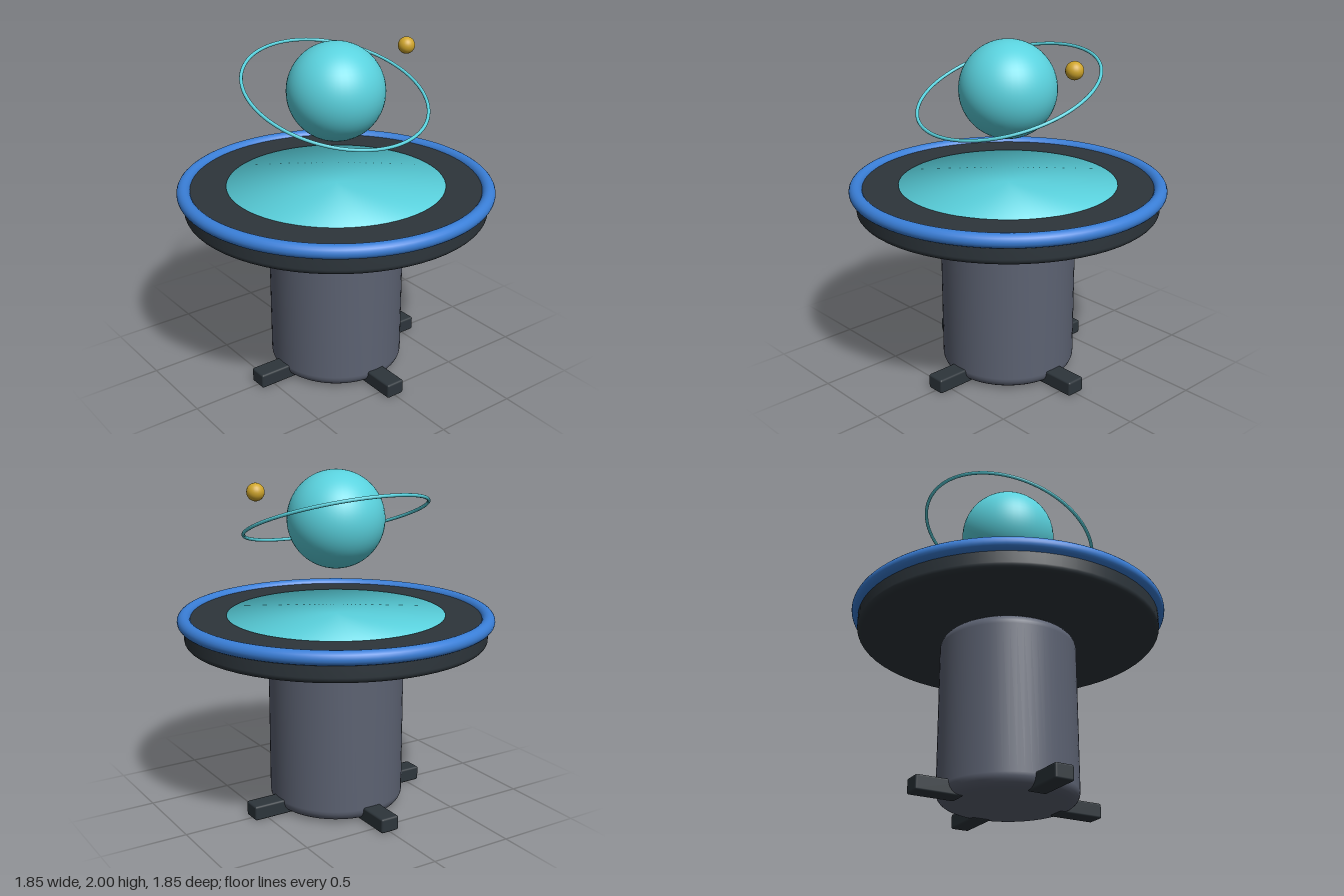
import * as THREE from 'three';
import { RoundedBoxGeometry } from 'three/addons/geometries/RoundedBoxGeometry.js';

const paint = (name, color) => Object.assign(new THREE.MeshStandardMaterial({ color }), { name });

// Upright drum with rounded top and bottom edges
function roundedDrum(radius, y0, y1, bevel) {
  const points = [new THREE.Vector2(0, y0), new THREE.Vector2(radius - bevel * 1.1, y0)];
  const arc = (cy, start) => {
    for (let i = 0; i <= 6; i++) {
      const a = start + (i / 6) * Math.PI / 2;
      points.push(new THREE.Vector2(radius - bevel + bevel * Math.cos(a), cy + bevel * Math.sin(a)));
    }
  };
  arc(y0 + bevel, -Math.PI / 2);
  arc(y1 - bevel, 0);
  points.push(new THREE.Vector2(radius - bevel * 1.1, y1), new THREE.Vector2(0, y1));
  return new THREE.LatheGeometry(points, 64);
}

// Flat disc whose normals lean outward towards the rim, for a lens-like sheen
function lensDisc(radius) {
  const disc = new THREE.CircleGeometry(radius, 64).rotateX(-Math.PI / 2);
  const { position, normal } = disc.attributes;
  const n = new THREE.Vector3();
  for (let i = 0; i < position.count; i++) {
    n.set(position.getX(i) / radius, 1, position.getZ(i) / radius).normalize();
    normal.setXYZ(i, n.x, n.y, n.z);
  }
  return disc;
}

export function createModel() {
  const model = new THREE.Group();
  model.name = 'hologramTable';

  const slate = paint('slate', 0x5c6272);
  const dark = paint('charcoal', 0x2d353b);
  const blue = paint('blue', 0x3a7fd8);
  const teal = paint('teal', 0x5ad2de);
  const gold = paint('gold', 0xd0a62c);

  const add = (name, geometry, material, x = 0, y = 0, z = 0) => {
    const mesh = new THREE.Mesh(geometry, material);
    mesh.name = name;
    mesh.position.set(x, y, z);
    model.add(mesh);
    return mesh;
  };

  // Base: pedestal and four feet
  add('pedestal', roundedDrum(0.4, 0.007, 1.003, 0.07), slate);
  const footGeometry = new RoundedBoxGeometry(0.28, 0.088, 0.115, 2, 0.012);
  for (let i = 0; i < 4; i++) {
    const a = (i * Math.PI) / 2;
    const foot = add('foot', footGeometry, dark, 0.445 * Math.cos(a), 0.044, -0.445 * Math.sin(a));
    foot.rotation.y = a;
  }

  // Table top, rim and projector lens
  add('tableTop', roundedDrum(0.887, 1.005, 1.16, 0.035), dark);
  add('rim', new THREE.TorusGeometry(0.885, 0.04, 20, 96).rotateX(Math.PI / 2), blue, 0, 1.146, 0);
  add('projectorLens', lensDisc(0.64), teal, 0, 1.165, 0);

  // Floating planet, tilted orbit and moon
  add('planet', new THREE.SphereGeometry(0.283, 48, 32), teal, 0, 1.717, 0);
  const orbit = add('orbitRing', new THREE.TorusGeometry(0.538, 0.01, 10, 96), teal, 0, 1.717, 0);
  orbit.rotation.x = Math.PI / 2 + 0.35;
  add('moon', new THREE.SphereGeometry(0.05, 24, 16), gold, 0.514, 1.903, 0);

  return model;
}
